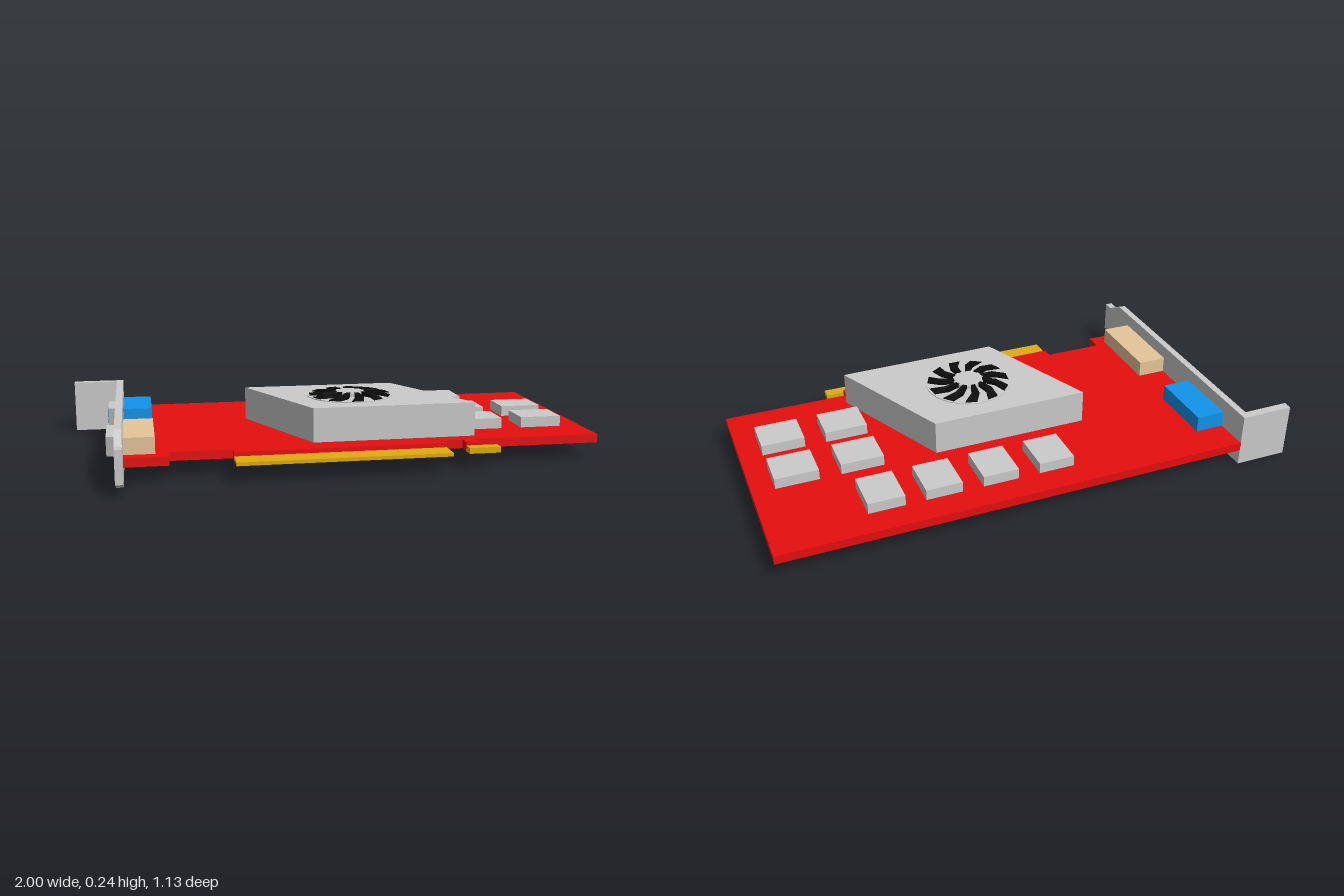
import * as THREE from 'three';

const paint = (color) => new THREE.MeshStandardMaterial({ color });
const grey = paint(0xcccccc);
const red = paint(0xe60e0e);
const gold = paint(0xe0ac10);
const blue = paint(0x1094ea);
const tan = paint(0xe6c69a);
const black = paint(0x0c0c0c);

const extrude = (pts, depth) => new THREE.ExtrudeGeometry(
  new THREE.Shape(pts.map(([a, b]) => new THREE.Vector2(a, b))), { depth, bevelEnabled: false });

// Horizontal plate from an outline of [x, z] points
function slab(name, pts, y0, y1, material) {
  const geo = extrude(pts.map(([x, z]) => [x, -z]), y1 - y0).rotateX(-Math.PI / 2).translate(0, y0, 0);
  const mesh = new THREE.Mesh(geo, material);
  mesh.name = name;
  return mesh;
}

// Upright plate from an outline of [z, y] points, thick along x
function sideSlab(name, pts, x0, x1, material) {
  const geo = extrude(pts.map(([z, y]) => [-z, y]), x1 - x0).rotateY(Math.PI / 2).translate(x0, 0, 0);
  const mesh = new THREE.Mesh(geo, material);
  mesh.name = name;
  return mesh;
}

// Box given by its limits
function box(name, x0, x1, y0, y1, z0, z1, material) {
  const mesh = new THREE.Mesh(new THREE.BoxGeometry(x1 - x0, y1 - y0, z1 - z0), material);
  mesh.position.set((x0 + x1) / 2, (y0 + y1) / 2, (z0 + z1) / 2);
  mesh.name = name;
  return mesh;
}

function createFan() {
  const fan = new THREE.Group();
  fan.name = 'fan';
  const disc = new THREE.Mesh(new THREE.CylinderGeometry(0.168, 0.168, 0.006, 32), grey);
  disc.name = 'fanDisc';
  disc.position.y = 0.001;
  const hub = new THREE.Mesh(new THREE.CylinderGeometry(0.06, 0.06, 0.018, 24), grey);
  hub.name = 'fanHub';
  hub.position.y = 0.009;
  fan.add(disc, hub);

  // Swept blades, sloping down towards the rim
  const blades = 11;
  const polar = (r, a) => [r * Math.cos(a), r * Math.sin(a)];
  const outline = [polar(0.056, 0), polar(0.11, 0.1), polar(0.16, 0.28),
    polar(0.16, 0.57), polar(0.11, 0.38), polar(0.056, 0.3)];
  for (let i = 0; i < blades; i++) {
    const blade = slab('fanBlade', outline, 0, 0.019, black);
    const p = blade.geometry.attributes.position;
    for (let k = 0; k < p.count; k++) {
      const r = Math.hypot(p.getX(k), p.getZ(k));
      if (p.getY(k) > 0.01) p.setY(k, r > 0.15 ? 0.007 : r > 0.1 ? 0.016 : 0.02);
    }
    blade.geometry.computeVertexNormals();
    blade.rotation.y = i * Math.PI * 2 / blades;
    fan.add(blade);
  }
  fan.position.set(0.085, 0.224, 0.045);
  return fan;
}

export function createModel() {
  const model = new THREE.Group();
  model.name = 'expansionCard';

  // Circuit board with its three lower tabs
  model.add(slab('circuitBoard', [
    [-0.797, -0.565], [1, -0.565], [1, 0.338], [0.51, 0.338], [0.51, 0.383], [0.46, 0.383],
    [0.46, 0.338], [0.385, 0.338], [0.385, 0.38], [-0.405, 0.38], [-0.405, 0.338],
    [-0.635, 0.338], [-0.635, 0.405], [-0.797, 0.405]], 0.062, 0.095, red));

  // Gold edge contacts
  model.add(box('edgeContacts', -0.405, 0.385, 0.066, 0.079, 0.378, 0.472, gold));
  model.add(box('edgeHook', 0.46, 0.58, 0.061, 0.083, 0.383, 0.426, gold));

  // Mounting bracket and its bent flange
  model.add(sideSlab('bracket', [
    [-0.565, 0], [0.44, 0], [0.522, 0.043], [0.565, 0.043],
    [0.565, 0.165], [0.522, 0.165], [0.44, 0.208], [-0.565, 0.208]], -0.822, -0.795, grey));
  model.add(box('bracketFlange', -1, -0.82, 0, 0.208, -0.565, -0.531, grey));

  // Connector bodies on the board
  model.add(box('blueConnector', -0.797, -0.682, 0.094, 0.157, -0.432, -0.17, blue));
  model.add(box('tanConnector', -0.797, -0.682, 0.094, 0.157, 0.03, 0.355, tan));

  // Connector shells outside the bracket, narrower at the bottom
  const plug = (name, z0, z1, inset, x0, x1, material) => sideSlab(name, [
    [z0 + inset + 0.02, 0.074 + inset], [z1 - inset - 0.02, 0.074 + inset],
    [z1 - inset, 0.15 - inset], [z0 + inset, 0.15 - inset]], x0, x1, material);
  model.add(plug('blueShell', -0.38, -0.225, 0, -0.855, -0.82, grey));
  model.add(plug('blueFace', -0.38, -0.225, 0.01, -0.857, -0.85, blue));
  model.add(plug('tanShell', 0.095, 0.3, 0, -0.855, -0.82, grey));

  // Slanted cooler housing with its fan
  model.add(slab('coolerHousing',
    [[-0.302, -0.195], [0.305, -0.195], [0.525, 0.28], [-0.1, 0.285]], 0.093, 0.225, grey));
  model.add(createFan());

  // Memory chips: a back row of four and two pairs at the side
  for (const x of [-0.14, 0.08, 0.297, 0.51]) {
    model.add(box('memoryChip', x, x + 0.137, 0.094, 0.136, -0.46, -0.298, grey));
  }
  for (const x of [0.508, 0.752]) {
    for (const z of [-0.196, 0.031]) {
      model.add(box('memoryChip', x, x + 0.163, 0.094, 0.136, z, z + 0.142, grey));
    }
  }
  return model;
}
